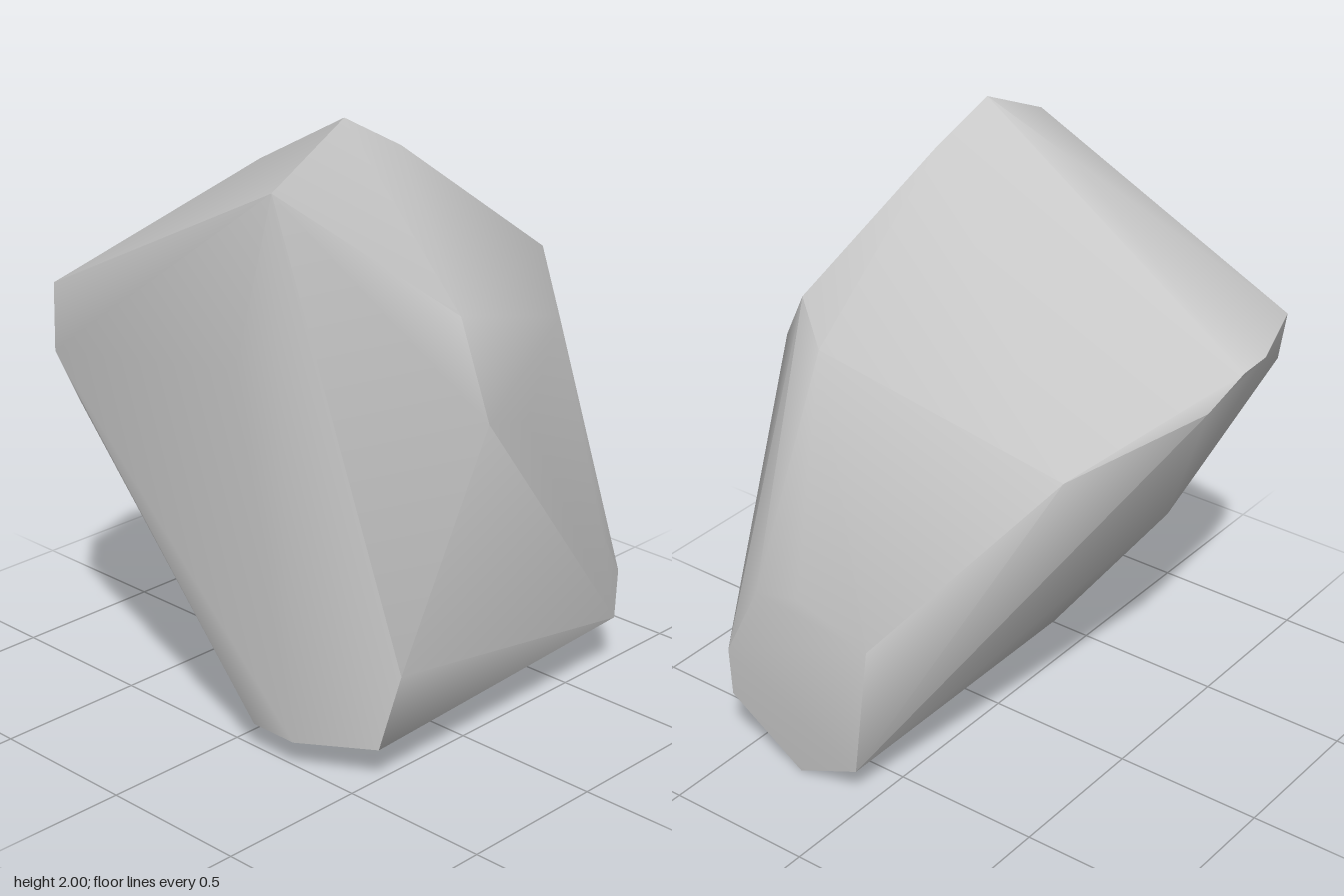
import * as THREE from 'three';
import { ConvexGeometry } from 'three/addons/geometries/ConvexGeometry.js';
import { toCreasedNormals } from 'three/addons/utils/BufferGeometryUtils.js';

const corners = (...list) => list.map((p) => new THREE.Vector3(...p));

export function createModel() {
  const stone = new THREE.MeshStandardMaterial({ color: 0xc7c7c7 });
  stone.name = 'light grey stone';

  // Ridge and sloping top
  const crown = corners(
    [0.255, 2, 0.28], [0.285, 1.85, 0.6], [0.30, 1.89, 0.09], [-0.02, 1.84, 0.35],
    [0.46, 1.515, -0.37], [0.34, 1.4, -0.44], [0.575, 1.33, -0.32],
    [0.64, 1.475, 0.2], [0.72, 1.155, 0.16], [0.692, 1.1, -0.04]);

  // Overhanging shoulder
  const shoulder = corners(
    [-0.635, 1.385, 0.64], [-0.58, 1.19, 0.69], [-0.5, 1.03, 0.66],
    [-0.72, 1.37, 0.38], [-0.715, 1.36, 0.27], [-0.67, 1.26, 0.15],
    [-0.41, 1.1, -0.22], [-0.43, 0.74, 0.32], [0.16, 1.3, 0.63]);

  // Flat back cap
  const back = corners(
    [-0.025, 0.59, -0.69], [0.04, 0.11, -0.68], [0.55, 0.19, -0.68],
    [0.555, 0.36, -0.685], [0.42, 0.63, -0.685], [0.25, 0.67, -0.685], [0.588, 0.55, -0.55]);

  // Narrow keel it stands on
  const keel = corners(
    [0.28, 0, -0.67], [0.28, 0.02, 0.18], [0.05, 0.105, 0.38], [0.11, 0.1, 0.53],
    [0.28, 0.1, 0.53], [0.525, 0.12, 0.41], [0.578, 0.37, 0.37]);

  // Shallow bends are smoothed, strong ones stay sharp
  const hull = new ConvexGeometry([...crown, ...shoulder, ...back, ...keel]);
  const rock = new THREE.Mesh(toCreasedNormals(hull, 0.78), stone);
  rock.name = 'rock';

  const group = new THREE.Group();
  group.name = 'boulder';
  group.add(rock);
  return group;
}
